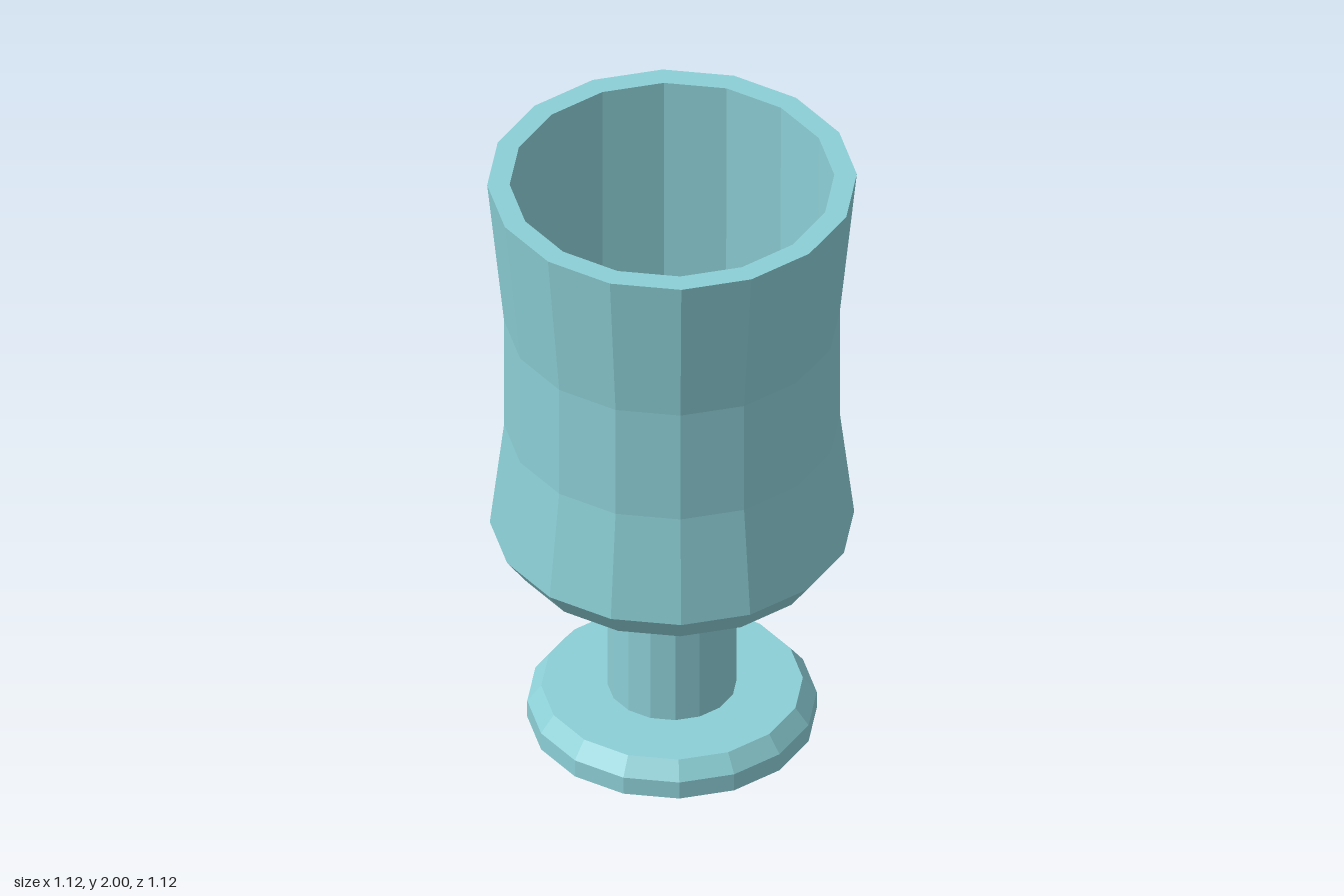
import * as THREE from 'three';

const SIDES = 16;

export function createModel() {
  const group = new THREE.Group();
  group.name = 'goblet';
  const material = new THREE.MeshStandardMaterial({ color: 0x8ccfd6, flatShading: true });

  // Each part is a faceted turning of an [radius, height] profile
  const turn = (name, profile) => {
    const points = profile.map(([r, y]) => new THREE.Vector2(r, y));
    const mesh = new THREE.Mesh(new THREE.LatheGeometry(points, SIDES), material);
    mesh.name = name;
    group.add(mesh);
  };

  // Round foot with a bevelled upper edge
  turn('foot', [[0, 0], [0.437, 0], [0.437, 0.06], [0.395, 0.115], [0.195, 0.115]]);

  // Short straight stem
  turn('stem', [[0.195, 0.115], [0.195, 0.505]]);

  // Waisted cup: underside, outer wall, flat rim, inner wall and floor
  turn('cup', [
    [0.195, 0.505], [0.485, 0.645], [0.55, 0.735], [0.507, 1.1], [0.507, 1.49],
    [0.558, 2], [0.49, 2], [0.484, 0.74], [0, 0.74],
  ]);

  return group;
}
